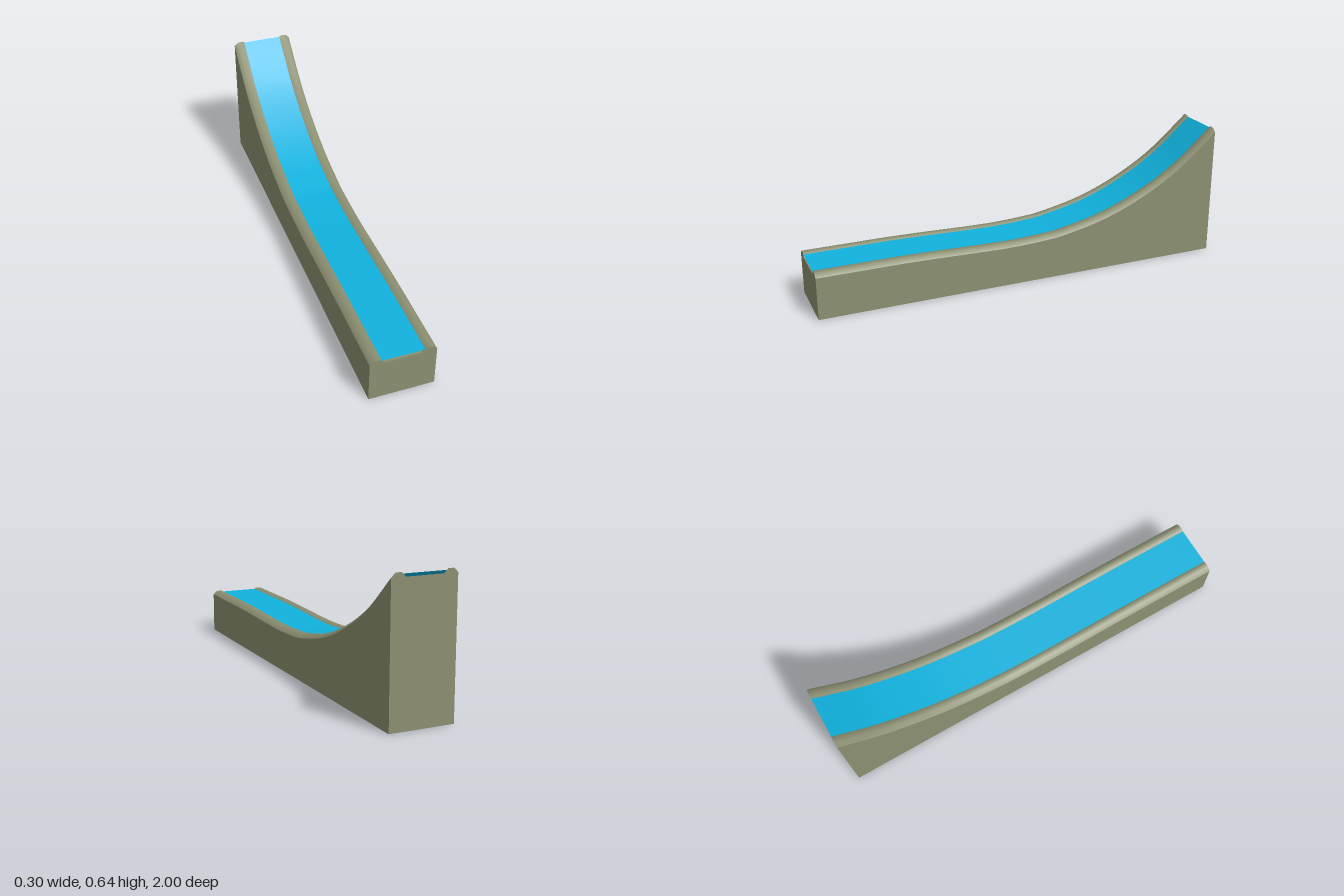
import * as THREE from 'three';

// Rim height along the length, as (z, y) from front to back
const spine = new THREE.SplineCurve([
  [1, 0.22], [0.8, 0.22], [0.6, 0.22], [0.4, 0.216], [0.2, 0.21], [0.05, 0.209], [-0.1, 0.216],
  [-0.2, 0.228], [-0.4, 0.274], [-0.6, 0.353], [-0.8, 0.47], [-1, 0.638],
].map(([z, y]) => new THREE.Vector2(z, y))).getPoints(66);

// Sweeps a left-to-right row of [x, drop below rim] along the spine; a null drop means the ground
function sweep(row) {
  const pos = [], index = [], n = row.length;
  spine.forEach((p, k) => {
    row.forEach(([x, drop], i) => {
      pos.push(x, drop === null ? 0 : p.y - drop, p.x);
      if (k < spine.length - 1 && i < n - 1) {
        const a = k * n + i, b = a + 1, c = a + n, d = c + 1;
        index.push(a, b, c, b, d, c);
      }
    });
  });
  const geo = new THREE.BufferGeometry();
  geo.setAttribute('position', new THREE.Float32BufferAttribute(pos, 3));
  geo.setIndex(index);
  geo.computeVertexNormals();
  return geo;
}

export function createModel() {
  const model = new THREE.Group();
  model.name = 'slide';
  const stone = new THREE.MeshStandardMaterial({ color: 0x8c9072 });
  stone.name = 'olive stone';
  const blue = new THREE.MeshStandardMaterial({ color: 0x10b2de, side: THREE.DoubleSide });
  blue.name = 'bright blue';

  const add = (name, geo, mat = stone) => {
    const mesh = new THREE.Mesh(geo, mat);
    mesh.name = name;
    model.add(mesh);
    return mesh;
  };

  // Bevelled rim, listed from the outer edge inwards
  const rim = [[0.15, 0.019], [0.131, 0.001], [0.104, 0], [0.085, 0.02]];
  const leftSide = rim.map(([x, d]) => [-x, d]);
  const rightSide = [...rim].reverse();

  add('rightRim', sweep(leftSide));
  add('leftRim', sweep(rightSide));
  add('channelFloor', sweep([leftSide[3], rightSide[0]]));
  add('rightWall', sweep([[-0.15, null], leftSide[0]]));
  add('leftWall', sweep([rightSide[3], [0.15, null]]));
  add('base', sweep([[0.15, null], [-0.15, null]]));

  // Flat ends closing the body
  for (const [name, p, back] of [['frontEnd', spine[0], false], ['backEnd', spine.at(-1), true]]) {
    const outline = [[-0.15, null], ...leftSide, ...rightSide, [0.15, null]]
      .map(([x, d]) => new THREE.Vector2(x, d === null ? 0 : p.y - d));
    const end = add(name, new THREE.ShapeGeometry(new THREE.Shape(outline)));
    end.position.z = p.x;
    if (back) end.rotation.y = Math.PI;
  }

  // Thin sliding surface stretched between the rims
  add('slideSurface', sweep([[-0.098, 0.007], [0.098, 0.007]]), blue);
  return model;
}
